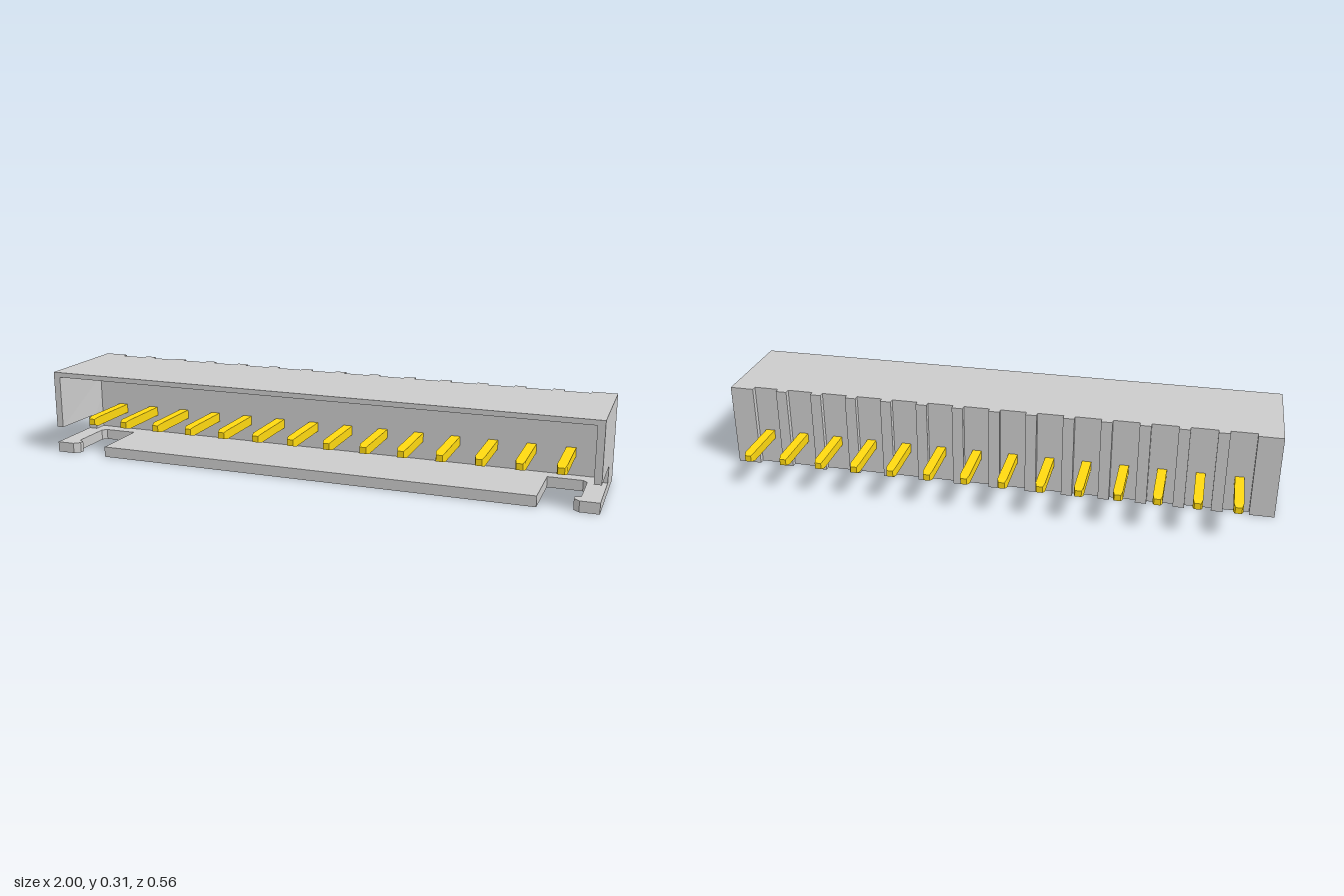
import * as THREE from 'three';

const plastic = new THREE.MeshStandardMaterial({ color: 0xcccccc, flatShading: true });
const gold = new THREE.MeshStandardMaterial({ color: 0xffd910, flatShading: true });

const PINS = 14, PITCH = 0.1336, PIN_Y = 0.119;
const FRONT = 0.28, RECESS = -0.073, REAR = -0.093, CAVITY = 0.02;
const TOP = 0.307, FLOOR = 0.038, SLOT_Z = 0.068;

function add(parent, name, geometry, material = plastic) {
  const mesh = new THREE.Mesh(geometry, material);
  mesh.name = name;
  parent.add(mesh);
  return mesh;
}

function box(x0, x1, y0, y1, z0, z1) {
  return new THREE.BoxGeometry(x1 - x0, y1 - y0, z1 - z0)
    .translate((x0 + x1) / 2, (y0 + y1) / 2, (z0 + z1) / 2);
}

const shapeOf = (pts) => new THREE.Shape(pts.map(([a, b]) => new THREE.Vector2(a, b)));

// Side profile given as [z, y], extruded from x0 to x1
function extrudeX(profile, x0, x1) {
  return new THREE.ExtrudeGeometry(shapeOf(profile.map(([z, y]) => [-z, y])), { depth: x1 - x0, bevelEnabled: false })
    .rotateY(Math.PI / 2).translate(x0, 0, 0);
}

// Side wall with a lower slot; its inner face opens slightly toward the front
function sideWall(side) {
  const profile = [
    [RECESS, FLOOR], [SLOT_Z, FLOOR], [SLOT_Z, 0.097], [FRONT, 0.097], [FRONT, 0.292], [RECESS, 0.292],
  ];
  const geo = extrudeX(profile, side > 0 ? 0.965 : -1, side > 0 ? 1 : -0.965);
  const p = geo.attributes.position;
  for (let i = 0; i < p.count; i++) {
    if (Math.abs(p.getX(i)) > 0.99) continue;
    const t = THREE.MathUtils.clamp((p.getZ(i) - CAVITY) / (FRONT - CAVITY), 0, 1);
    p.setX(i, side * (0.965 + 0.01 * t));
  }
  geo.computeVertexNormals();
  return geo;
}

// Floor plate with a notch and a hooked arm at each end, drawn as [x, z]
function floorPlate() {
  const half = [
    [1, RECESS], [1, FRONT], [0.935, FRONT], [0.915, 0.262], [0.915, 0.245],
    [0.935, 0.235], [0.935, SLOT_Z + 0.015], [0.92, SLOT_Z], [0.8, SLOT_Z], [0.8, FRONT],
  ];
  const mirrored = half.map(([x, z]) => [-x, z]).reverse();
  return new THREE.ExtrudeGeometry(shapeOf([...half, ...mirrored]), { depth: FLOOR, bevelEnabled: false })
    .rotateX(Math.PI / 2).translate(0, FLOOR, 0);
}

// Square pin with both tips tapered
function pinGeometry() {
  const w = 0.033, z0 = -0.28, z1 = 0.248, tip = 0.02;
  const geo = new THREE.BoxGeometry(w, w, 3, 1, 1, 3);
  const stations = [z0, z0 + tip, z1 - tip, z1];
  const p = geo.attributes.position;
  for (let i = 0; i < p.count; i++) {
    const k = Math.round(p.getZ(i) + 1.5);
    const s = k === 0 || k === 3 ? 0.68 : 1;
    p.setXYZ(i, p.getX(i) * s, p.getY(i) * s, stations[k]);
  }
  geo.computeVertexNormals();
  return geo;
}

export function createModel() {
  const model = new THREE.Group();
  model.name = 'pinHeader';

  // Housing
  const housing = new THREE.Group();
  housing.name = 'housing';
  model.add(housing);
  add(housing, 'floorPlate', floorPlate());
  add(housing, 'backWall', box(-0.966, 0.966, FLOOR, 0.292, RECESS, CAVITY));
  add(housing, 'roof', extrudeX([
    [RECESS, 0.292], [CAVITY, 0.292], [CAVITY, 0.275], [FRONT, 0.289], [FRONT, TOP], [RECESS, TOP],
  ], -1, 1));
  add(housing, 'leftWall', sideWall(1));
  add(housing, 'rightWall', sideWall(-1));

  // Rear ribs between the pins, with wider ones at the ends
  for (let i = 0; i < PINS - 1; i++) {
    const x = (i - (PINS - 2) / 2) * PITCH;
    add(housing, 'rearRib', box(x - 0.02, x + 0.02, 0, TOP, REAR, RECESS));
  }
  add(housing, 'leftEndRib', box(0.913, 1, 0, TOP, REAR, RECESS));
  add(housing, 'rightEndRib', box(-1, -0.913, 0, TOP, REAR, RECESS));

  // Row of pins
  const pins = new THREE.Group();
  pins.name = 'pins';
  model.add(pins);
  const geo = pinGeometry();
  for (let i = 0; i < PINS; i++) {
    add(pins, 'pin', geo, gold).position.set((i - (PINS - 1) / 2) * PITCH, PIN_Y, 0);
  }
  return model;
}
